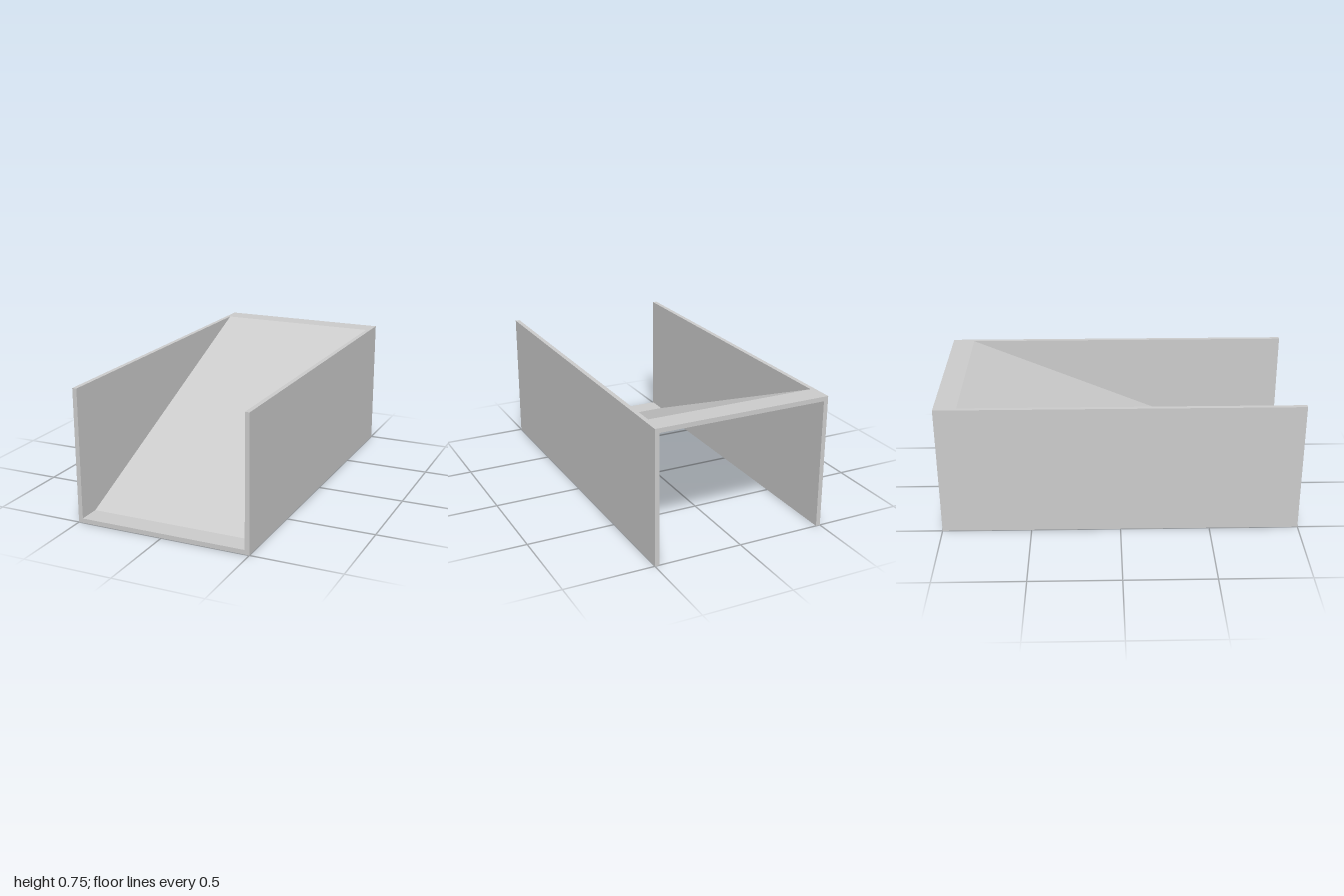
import * as THREE from 'three';

export function createModel() {
  const group = new THREE.Group();
  const material = new THREE.MeshStandardMaterial({ color: 0xcccccc, flatShading: true });
  const width = 1, height = 0.75, length = 2, t = 0.025;
  const half = length / 2, landing = 0.125;

  // Side walls
  for (const [name, side] of [['leftWall', 1], ['rightWall', -1]]) {
    const wall = new THREE.Mesh(new THREE.BoxGeometry(t, height, length), material);
    wall.name = name;
    wall.position.set(side * (width - t) / 2, height / 2, 0);
    group.add(wall);
  }

  // Ramp with a flat landing at each end: side profile (z, y) extruded across the width
  const top = [
    [half, t], [half - landing, t],
    [-half + landing, height], [-half, height],
  ];
  const bottom = top.map(([z, y]) => [z, y - t]).reverse();
  const profile = new THREE.Shape([...top, ...bottom].map(([z, y]) => new THREE.Vector2(z, y)));
  const inner = width - 2 * t;
  const rampGeometry = new THREE.ExtrudeGeometry(profile, { depth: inner, bevelEnabled: false });
  rampGeometry.rotateY(-Math.PI / 2).translate(inner / 2, 0, 0);
  const ramp = new THREE.Mesh(rampGeometry, material);
  ramp.name = 'ramp';
  group.add(ramp);

  return group;
}
